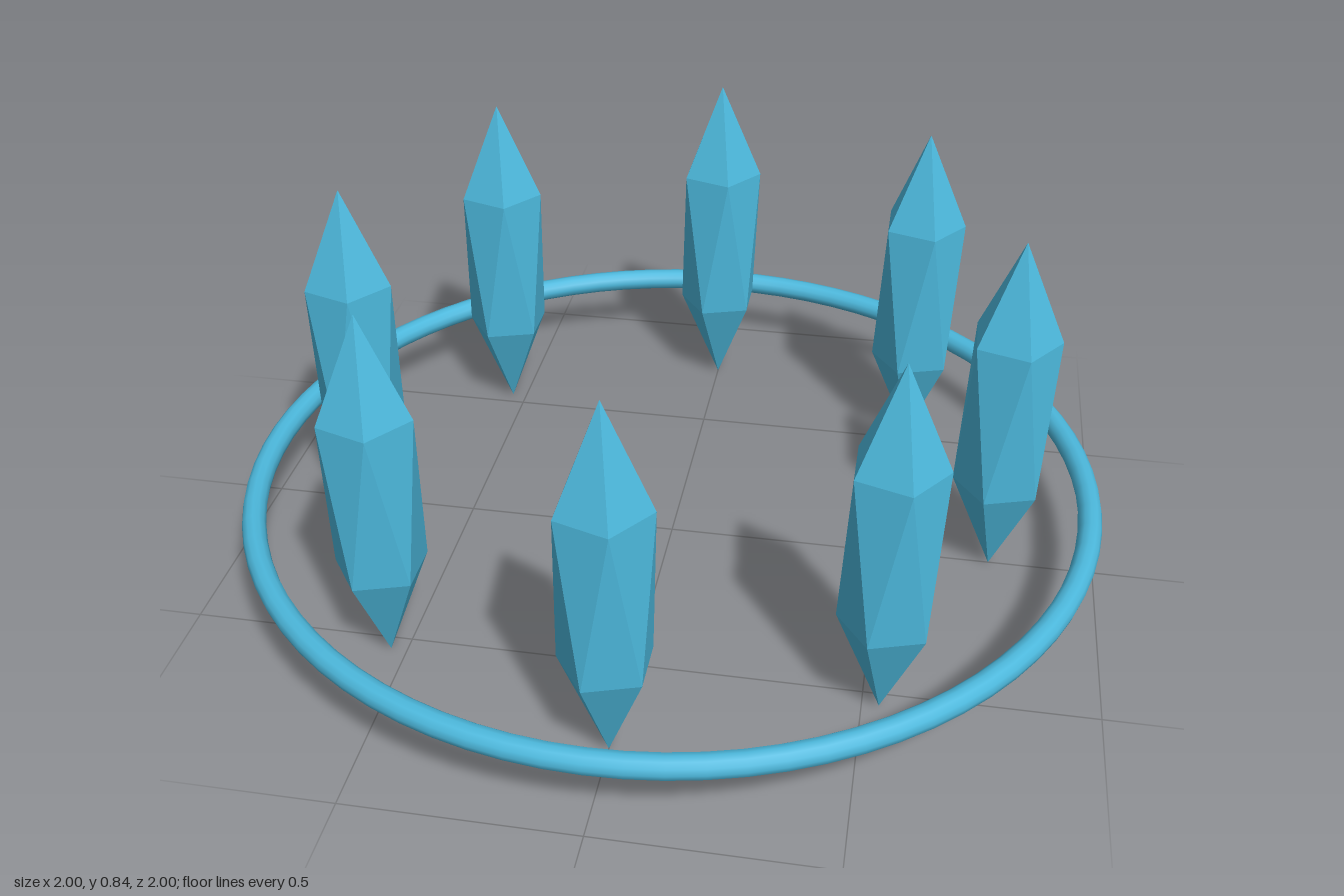
import * as THREE from 'three';

export function createModel() {
  const group = new THREE.Group();
  const crystalBlue = new THREE.MeshStandardMaterial({ color: 0x4cb8dc });
  crystalBlue.name = 'crystalBlue';
  crystalBlue.flatShading = true;
  const ringBlue = crystalBlue.clone();
  ringBlue.name = 'ringBlue';
  ringBlue.flatShading = false;

  // Thin hoop lying flat around the crystals
  const hoop = new THREE.TorusGeometry(0.973, 0.027, 12, 80);
  hoop.rotateX(-Math.PI / 2);
  const ring = new THREE.Mesh(hoop, ringBlue);
  ring.name = 'ring';
  ring.position.y = 0.172;
  group.add(ring);

  // Crystal: an icosahedron turned to stand on one corner, then stretched upward
  const crystalShape = new THREE.IcosahedronGeometry(1, 0);
  crystalShape.rotateZ(-Math.atan(2 / (1 + Math.sqrt(5))));
  crystalShape.scale(0.115, 0.4225, 0.115);
  crystalShape.computeVertexNormals();

  // Eight crystals in a circle, all facing the same way
  const crystals = new THREE.Group();
  crystals.name = 'crystals';
  for (let i = 0; i < 8; i++) {
    const a = (i * Math.PI) / 4;
    const crystal = new THREE.Mesh(crystalShape, crystalBlue);
    crystal.name = `crystal${i + 1}`;
    crystal.position.set(0.759 * Math.cos(a), 0.4225, 0.759 * Math.sin(a));
    crystals.add(crystal);
  }
  group.add(crystals);
  return group;
}
